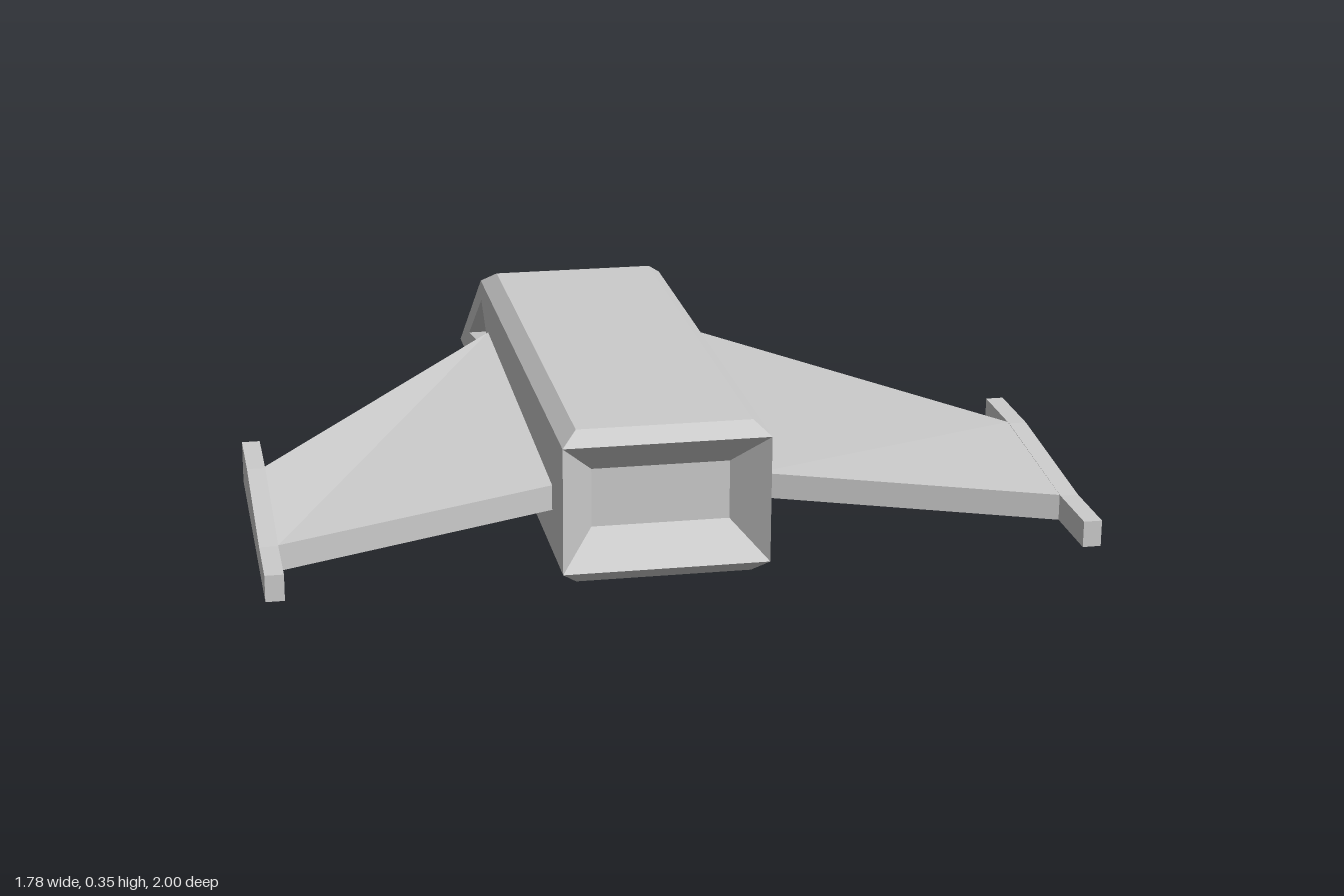
import * as THREE from 'three';

const material = new THREE.MeshStandardMaterial({ color: 0xcccccc, flatShading: true });
const V = (x, y, z) => new THREE.Vector3(x, y, z);

// Adds a flat polygon (optionally with a hole) that faces the direction dir.
function addPolygon(out, points, dir, hole = []) {
  const a = [Math.abs(dir.x), Math.abs(dir.y), Math.abs(dir.z)];
  const drop = a.indexOf(Math.max(...a));
  const flat = (p) => {
    const c = p.toArray();
    c.splice(drop, 1);
    return new THREE.Vector2(c[0], c[1]);
  };
  const all = [...points, ...hole];
  const tris = THREE.ShapeUtils.triangulateShape(points.map(flat), hole.length ? [hole.map(flat)] : []);
  for (const [i, j, k] of tris) {
    const [p, q, r] = [all[i], all[j], all[k]];
    const n = q.clone().sub(p).cross(r.clone().sub(p));
    for (const v of n.dot(dir) < 0 ? [p, r, q] : [p, q, r]) out.push(v.x, v.y, v.z);
  }
}

// Adds walls from a rim to an inner outline, plus the floor of the recess.
function addRecess(out, rim, inner, dir) {
  const centre = rim.reduce((s, p) => s.add(p), V(0, 0, 0)).divideScalar(rim.length);
  rim.forEach((p, i) => {
    const j = (i + 1) % rim.length;
    const q = rim[j];
    const n = q.clone().sub(p).cross(inner[i].clone().sub(p));
    if (n.dot(centre.clone().sub(p)) < 0) n.negate();
    addPolygon(out, [p, q, inner[j], inner[i]], n);
  });
  addPolygon(out, inner, dir);
}

function makeMesh(name, positions) {
  const g = new THREE.BufferGeometry();
  g.setAttribute('position', new THREE.Float32BufferAttribute(positions, 3));
  g.computeVertexNormals();
  const m = new THREE.Mesh(g, material);
  m.name = name;
  return m;
}

// Body outline: wide at the sides, narrowed by a bevel on top and bottom
const W = 0.231, B = 0.196, TOP = 0.353, HIGH = 0.323, LOW = 0.032;
const REAR = 0.728, REAR_IN = 0.69, NOSE = -1, NOSE_IN = -0.96, ROOF = -0.522;
const SLOPE = (TOP - LOW) / (ROOF - NOSE);
const slopeY = (z) => LOW + (z - NOSE) * SLOPE;
const BROW = NOSE + (HIGH - LOW) / SLOPE;

function createHull() {
  const hull = [], windows = [], windshield = [], exhaust = [];
  const rect = (x, y0, y1, z0, z1) => [V(-x, y0, z0), V(x, y0, z0), V(x, y1, z1), V(-x, y1, z1)];

  // Roof, belly and their rear and front bevels
  addPolygon(hull, rect(B, TOP, TOP, ROOF, REAR_IN), V(0, 1, 0));
  addPolygon(hull, rect(B, 0, 0, NOSE_IN, REAR_IN), V(0, -1, 0));
  const bevel = (y0, z0, y1, z1, dir) =>
    addPolygon(hull, [V(-B, y0, z0), V(B, y0, z0), V(W, y1, z1), V(-W, y1, z1)], dir);
  bevel(TOP, REAR_IN, HIGH, REAR, V(0, 1, 1.01));
  bevel(0, REAR_IN, LOW, REAR, V(0, -1, 1.01));
  bevel(0, NOSE_IN, LOW, NOSE, V(0, -1, -0.9));

  // Sides with recessed cockpit windows
  for (const s of [1, -1]) {
    const dir = V(s, 0, 0);
    const outline = [[LOW, REAR], [HIGH, REAR], [HIGH, BROW], [LOW, NOSE]].map(([y, z]) => V(s * W, y, z));
    const rim = [[0.273, -0.561], [0.108, -0.813], [0.166, -0.476], [0.21, -0.476]].map(([y, z]) => V(s * W, y, z));
    addPolygon(hull, outline, dir, rim);
    addRecess(windows, rim, rim.map((p) => V(p.x - s * 0.045, p.y, p.z)), dir);
    addPolygon(hull, [V(s * B, TOP, ROOF), V(s * B, TOP, REAR_IN), V(s * W, HIGH, REAR), V(s * W, HIGH, BROW)], V(s * 0.9, 1, 0));
    addPolygon(hull, [V(s * B, 0, NOSE_IN), V(s * B, 0, REAR_IN), V(s * W, LOW, REAR), V(s * W, LOW, NOSE)], V(s * 0.9, -1, 0));
  }

  // Sloping nose with a recessed windshield
  const normal = V(0, 1, -SLOPE).normalize();
  const rim = rect(B, slopeY(-0.973), slopeY(-0.596), -0.973, -0.596);
  addPolygon(hull, [V(-B, TOP, ROOF), V(B, TOP, ROOF), V(W, HIGH, BROW), V(W, LOW, NOSE), V(-W, LOW, NOSE), V(-W, HIGH, BROW)], normal, rim);
  addRecess(windshield, rim, rim.map((p) => p.clone().addScaledVector(normal, -0.047)), normal);

  // Funnel-shaped engine exhaust filling the rear end
  addRecess(exhaust, rect(W, LOW, HIGH, REAR, REAR), rect(0.155, 0.11, 0.245, REAR - 0.08, REAR - 0.08), V(0, 0, 1));

  const group = new THREE.Group();
  group.name = 'fuselage';
  group.add(makeMesh('hull', hull), makeMesh('sideWindows', windows),
    makeMesh('windshield', windshield), makeMesh('engineExhaust', exhaust));
  return group;
}

const TIP = 0.852, FRONT_Y = 0.224, BACK_Y = 0.187, UNDER = 0.129;

function createWing(s) {
  const out = [];
  // Corners: root front, tip front, tip back, root back
  const plan = [[W, -0.44], [TIP, 0.45], [TIP, 0.835], [W, 0.58]];
  const top = plan.map(([x, z], i) => V(s * x, i < 2 ? FRONT_Y : BACK_Y, z));
  const low = plan.map(([x, z]) => V(s * x, UNDER, z));
  // Twisted upper skin, creased along one diagonal
  const creases = s > 0 ? [[0, 1, 3], [1, 2, 3]] : [[0, 1, 2], [0, 2, 3]];
  for (const t of creases) addPolygon(out, t.map((i) => top[i]), V(0, 1, 0));
  addPolygon(out, low, V(0, -1, 0));
  // Leading and trailing edges
  addPolygon(out, [top[0], top[1], low[1], low[0]], V(s * 0.89, 0, -0.62));
  addPolygon(out, [top[2], top[3], low[3], low[2]], V(-s * 0.25, 0, 0.62));
  return makeMesh(s > 0 ? 'leftWing' : 'rightWing', out);
}

// Wing-tip rail, higher at its front end
function createTipRail(s) {
  const profile = [[0.28, UNDER], [1, UNDER], [1, BACK_Y], [0.84, BACK_Y], [0.46, FRONT_Y], [0.28, FRONT_Y]];
  const shape = new THREE.Shape(profile.map(([z, y]) => new THREE.Vector2(-z, y)));
  const g = new THREE.ExtrudeGeometry(shape, { depth: 0.04, bevelEnabled: false });
  g.rotateY(Math.PI / 2);
  g.translate(s > 0 ? TIP : -TIP - 0.04, 0, 0);
  const m = new THREE.Mesh(g, material);
  m.name = s > 0 ? 'leftTipRail' : 'rightTipRail';
  return m;
}

export function createModel() {
  const model = new THREE.Group();
  model.name = 'shuttle';
  model.add(createHull());
  for (const s of [1, -1]) model.add(createWing(s), createTipRail(s));
  return model;
}
